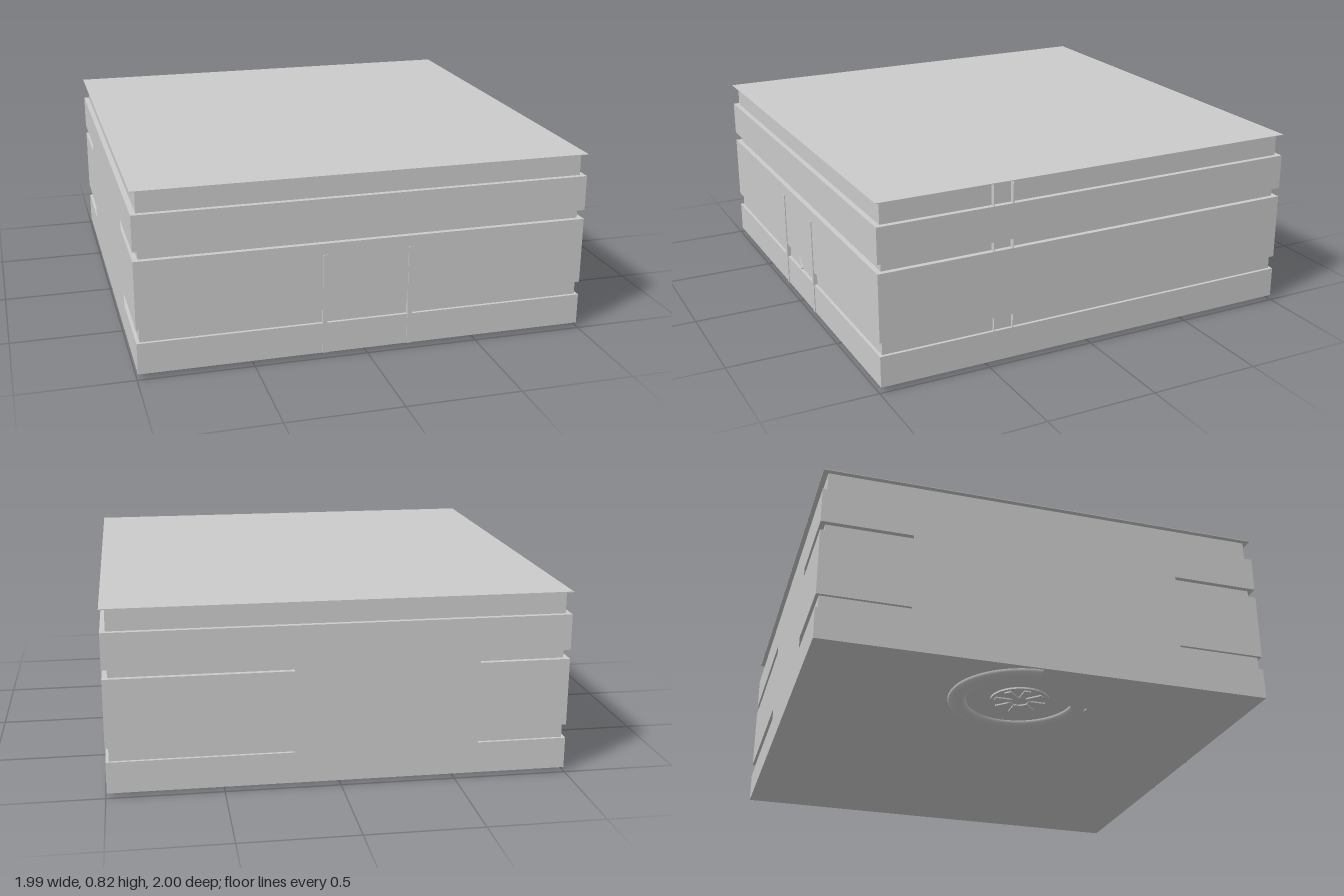
import * as THREE from 'three';

const H = 0.995; // half width of the block
const material = new THREE.MeshStandardMaterial({ color: 0xcccccc, side: THREE.DoubleSide, flatShading: true });
const smooth = new THREE.MeshStandardMaterial({ color: 0xcccccc, side: THREE.DoubleSide });

function add(parent, name, geometry, x, y, z, mat = material) {
  const mesh = new THREE.Mesh(geometry, mat);
  mesh.name = name;
  mesh.position.set(x, y, z);
  parent.add(mesh);
  return mesh;
}

// Square layer spanning a height range
function layer(parent, name, half, y0, y1) {
  return add(parent, name, new THREE.BoxGeometry(half * 2, y1 - y0, half * 2), 0, (y0 + y1) / 2, 0);
}

export function createModel() {
  const model = new THREE.Group();
  const block = new THREE.Group();
  block.name = 'building';
  block.position.z = -0.004;
  model.add(block);

  // Stacked wall bands with recessed window strips between them
  layer(block, 'baseBand', H, 0.022, 0.16);
  layer(block, 'lowerRecess', 0.981, 0.16, 0.222);
  layer(block, 'middleBand', H, 0.222, 0.522);
  layer(block, 'middleRecess', 0.972, 0.522, 0.563);
  layer(block, 'upperBand', H, 0.563, 0.72);
  layer(block, 'topRecess', 0.972, 0.72, 0.817);

  // Thin overhanging roof sheet
  layer(block, 'roof', H, 0.817, 0.82);

  // Flush thin panels closing the recesses on the back and right walls
  const panelY = 0.37, panelH = 0.69;
  const back = add(block, 'backPanel', new THREE.PlaneGeometry(0.8, panelH), -0.2, panelY, -H - 0.001);
  back.rotation.y = Math.PI;
  const side = add(block, 'sidePanel', new THREE.PlaneGeometry(1.2, panelH), -H - 0.001, panelY, 0);
  side.rotation.y = -Math.PI / 2;

  // Thin upright fins crossing the recesses on the left wall
  for (const z of [0.39, 0.48]) {
    for (const [y0, y1] of [[0.16, 0.222], [0.522, 0.563], [0.72, 0.817]]) {
      add(block, 'wallFin', new THREE.BoxGeometry(0.025, y1 - y0, 0.003), H - 0.0125, (y0 + y1) / 2, z);
    }
  }

  // Doorway: two slim jambs and a slanted bar
  for (const s of [-1, 1]) {
    add(block, 'doorJamb', new THREE.BoxGeometry(0.02, 0.45, 0.022), s * 0.19, 0.247, H - 0.007);
  }
  const bar = add(block, 'doorBar', new THREE.BoxGeometry(0.01, 0.08, 0.012), -0.027, 0.191, H - 0.012);
  bar.rotation.z = 0.75;

  // Underside emblem: three-quarter flattened ring around a spoked hub
  const foot = new THREE.Group();
  foot.name = 'undersideRing';
  foot.position.set(-0.67, 0.022, -0.035);
  model.add(foot);
  const ringGeometry = new THREE.TorusGeometry(0.275, 0.04, 12, 48, Math.PI * 1.5);
  ringGeometry.rotateX(-Math.PI / 2); // opening lies between -x and +z
  ringGeometry.rotateY(0);
  // Arc start at +z, running through +x and -z to -x
  ringGeometry.rotateY(-Math.PI / 2);
  ringGeometry.scale(1, 0.55, 1);
  add(foot, 'ring', ringGeometry, 0, 0, 0, smooth);

  add(foot, 'hubPlate', new THREE.CylinderGeometry(0.13, 0.13, 0.008, 32), 0, -0.004, 0);
  for (let i = 0; i < 8; i++) {
    const a = (i / 8) * Math.PI * 2;
    const spoke = add(foot, 'hubSpoke', new THREE.BoxGeometry(0.075, 0.008, 0.03),
      Math.cos(a) * 0.075, -0.01, -Math.sin(a) * 0.075);
    spoke.rotation.y = a;
  }
  return model;
}
